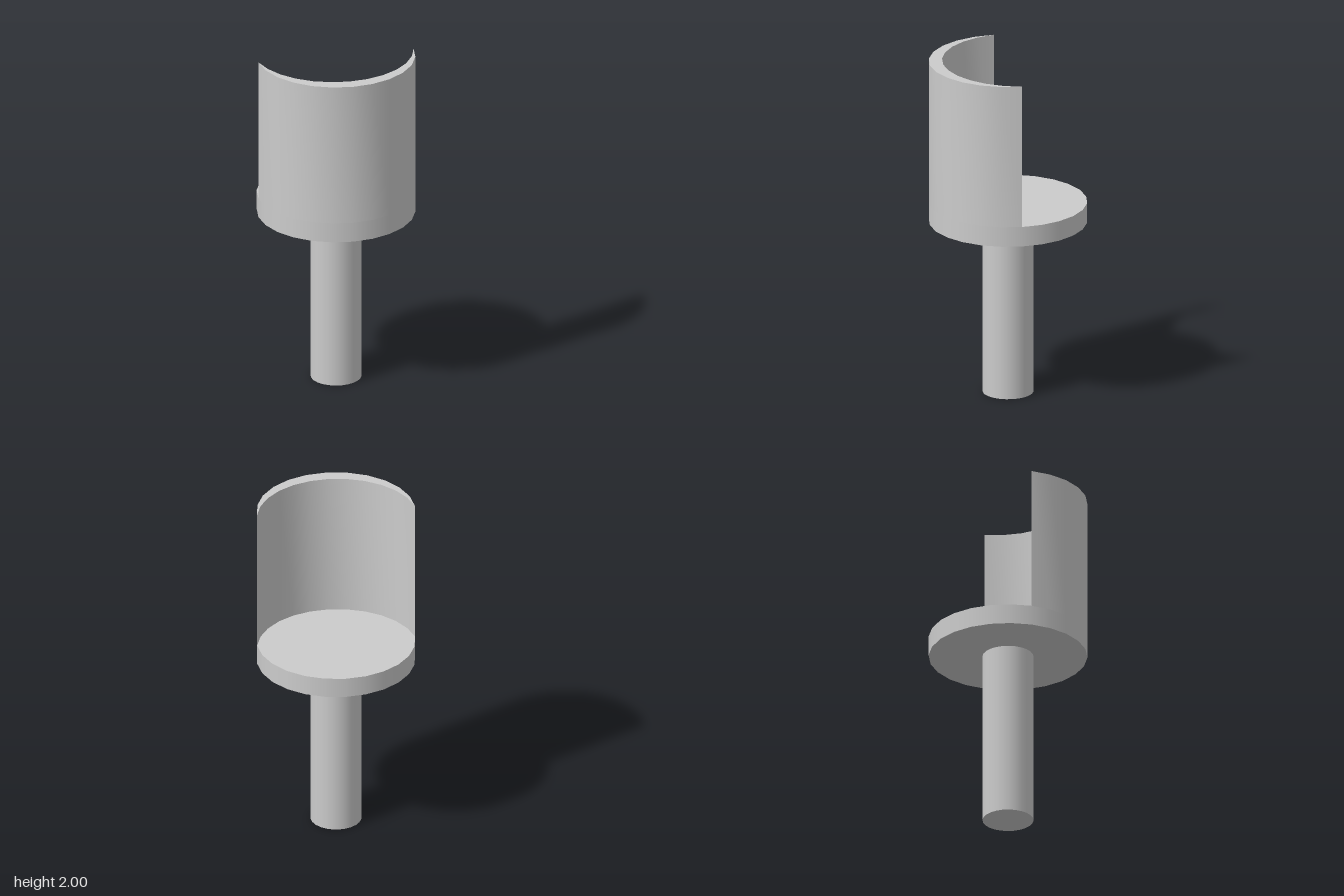
import * as THREE from 'three';
import { toCreasedNormals } from 'three/addons/utils/BufferGeometryUtils.js';

const SEGMENTS = 24;
const RADIUS = 0.454;
const PLATE_BOTTOM = 1.032;
const PLATE_TOP = 1.15;
const TOP = 2;

// Points along an arc, centred on the given middle angle
function arc(cx, cy, radius, middle, halfAngle, steps) {
  return Array.from({ length: steps + 1 }, (_, i) => {
    const a = middle + halfAngle * ((2 * i) / steps - 1);
    return new THREE.Vector2(cx + radius * Math.cos(a), cy + radius * Math.sin(a));
  });
}

export function createModel() {
  const group = new THREE.Group();
  const material = new THREE.MeshStandardMaterial({ color: 0xcccccc });

  function add(name, geometry, y) {
    const mesh = new THREE.Mesh(geometry, material);
    mesh.name = name;
    mesh.position.y = y;
    group.add(mesh);
  }

  // Stem and round plate
  const plateHeight = PLATE_TOP - PLATE_BOTTOM;
  add('stem', new THREE.CylinderGeometry(0.146, 0.146, PLATE_BOTTOM, SEGMENTS), PLATE_BOTTOM / 2);
  add('plate', new THREE.CylinderGeometry(RADIUS, RADIUS, plateHeight, SEGMENTS), PLATE_BOTTOM + plateHeight / 2);

  // Crescent wall: half the plate rim outside, a shallower arc inside
  const middle = THREE.MathUtils.degToRad(240);
  const depth = 0.376;
  const innerRadius = (RADIUS ** 2 + depth ** 2) / (2 * depth);
  const offset = depth - innerRadius;
  const outer = arc(0, 0, RADIUS, middle, Math.PI / 2, 12);
  const inner = arc(offset * Math.cos(middle), offset * Math.sin(middle), innerRadius,
    middle, Math.asin(RADIUS / innerRadius), 12);
  const crescent = new THREE.Shape([...outer, ...inner.reverse().slice(1, -1)]);
  const wall = new THREE.ExtrudeGeometry(crescent, { depth: TOP - PLATE_TOP, bevelEnabled: false });
  wall.rotateX(-Math.PI / 2);
  add('curvedWall', toCreasedNormals(wall, 0.35), PLATE_TOP);

  return group;
}
